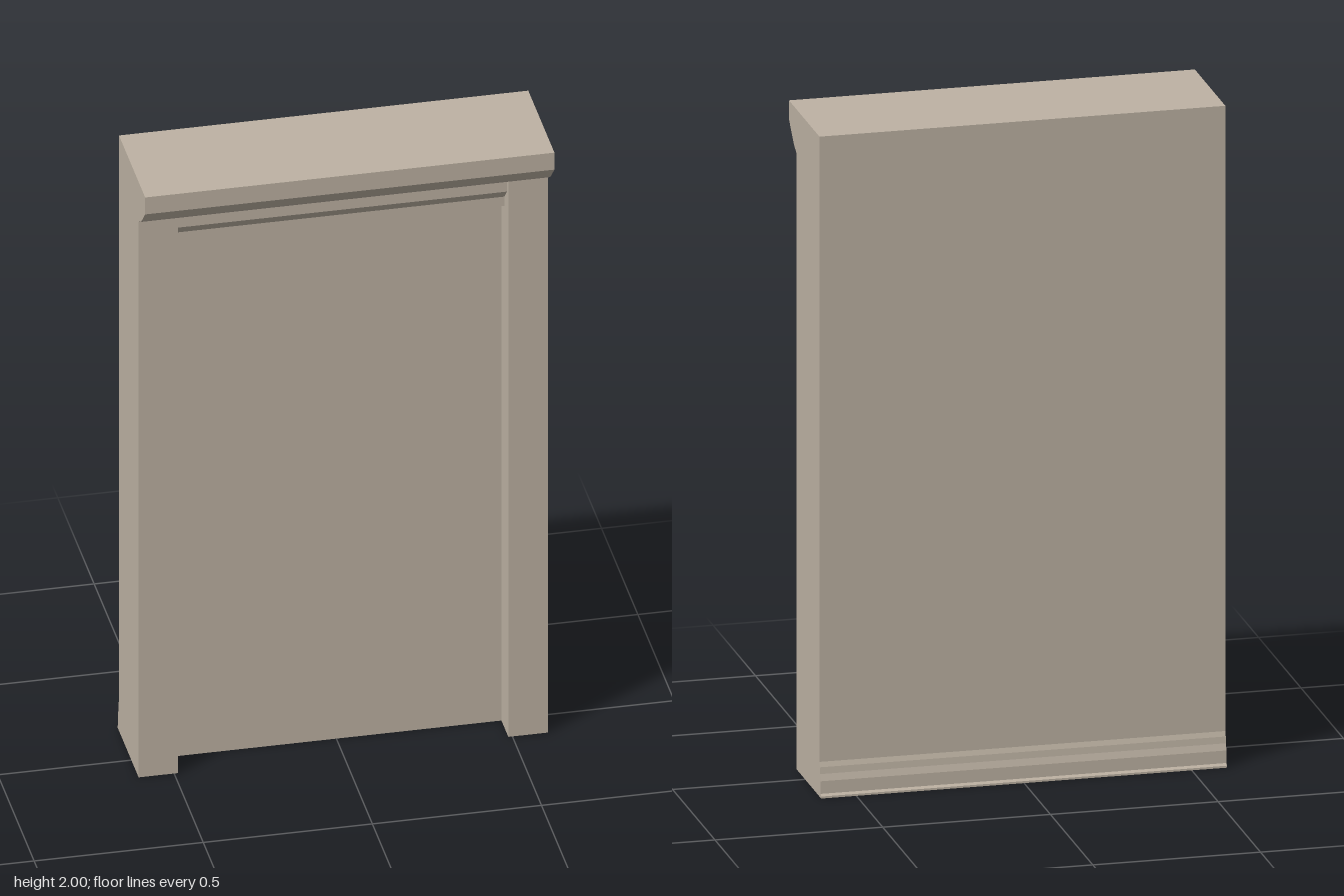
import * as THREE from 'three';

const WIDTH = 1.21, OPENING = 0.976;
const WALL_FRONT = 0.005, WALL_BACK = -0.17;

export function createModel() {
  const model = new THREE.Group();
  model.name = 'doorSurround';
  const stone = new THREE.MeshStandardMaterial({ color: 0xbdb2a3 });
  stone.name = 'warm stone';

  const add = (name, geometry) => {
    const mesh = new THREE.Mesh(geometry, stone);
    mesh.name = name;
    model.add(mesh);
    return mesh;
  };

  // Sweeps a [z, y] profile along x, centred on x = 0
  const moulding = (name, width, profile) => {
    const shape = new THREE.Shape(profile.map(([z, y]) => new THREE.Vector2(z, y)));
    const geometry = new THREE.ExtrudeGeometry(shape, { depth: width, bevelEnabled: false });
    geometry.translate(0, 0, -width / 2).rotateY(-Math.PI / 2);
    return add(name, geometry);
  };

  // Back wall with the stepped skirting along its rear foot
  moulding('wallWithSkirting', WIDTH, [
    [WALL_FRONT, 0], [WALL_FRONT, 2], [WALL_BACK, 2], [WALL_BACK, 0.105],
    [-0.175, 0.09], [-0.177, 0.07], [-0.183, 0.05], [-0.183, 0.012],
    [-0.19, 0.006], [-0.19, 0],
  ]);

  // Cornice with its coved underside
  moulding('cornice', WIDTH, [
    [WALL_FRONT, 1.865], [0.1, 1.865], [0.108, 1.872], [0.125, 1.88],
    [0.14, 1.892], [0.19, 1.943], [0.19, 2], [WALL_FRONT, 2],
  ]);

  // Stepped lintel between the pilasters
  moulding('lintel', OPENING, [
    [WALL_FRONT, 1.752], [0.045, 1.752], [0.045, 1.783], [0.08, 1.82],
    [0.08, 1.865], [WALL_FRONT, 1.865],
  ]);

  // Pilasters either side of the recess
  const pilasterWidth = (WIDTH - OPENING) / 2;
  const depth = 0.1 - WALL_FRONT;
  for (const [name, side] of [['leftPilaster', 1], ['rightPilaster', -1]]) {
    const pilaster = add(name, new THREE.BoxGeometry(pilasterWidth, 1.865, depth));
    pilaster.position.set(side * (OPENING + pilasterWidth) / 2, 1.865 / 2, WALL_FRONT + depth / 2);
  }

  return model;
}
